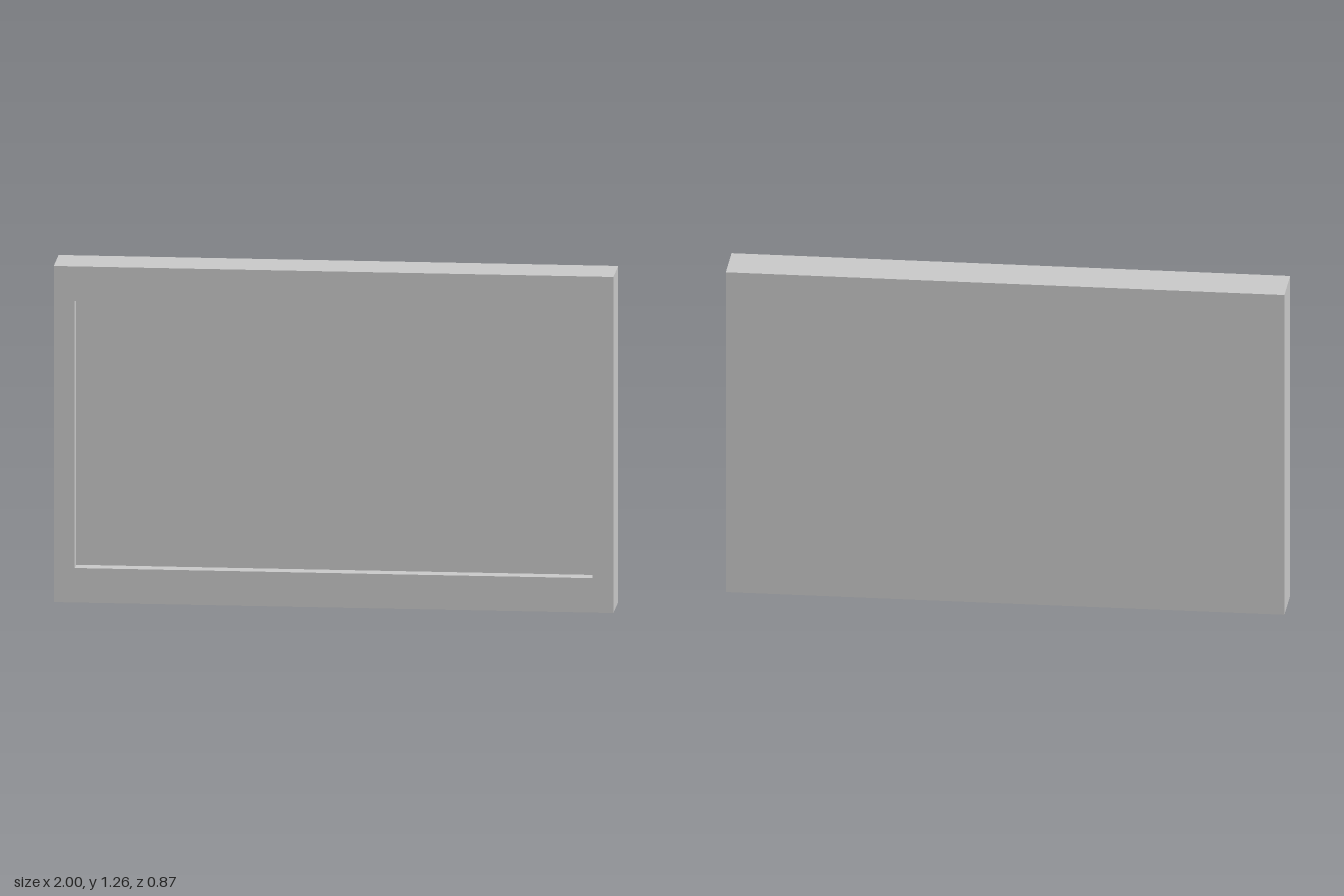
import * as THREE from 'three';

const W = 2.056, H = 1.258, T = 0.191; // outer slab
const OW = 1.902, OH = 1.0, DEPTH = 0.056; // recessed opening
const TURN = Math.atan2(0.69, 1.937);

function rectangle(target, w, h) {
  target.moveTo(-w / 2, -h / 2);
  target.lineTo(w / 2, -h / 2);
  target.lineTo(w / 2, h / 2);
  target.lineTo(-w / 2, h / 2);
  target.closePath();
  return target;
}

// Slab profile from back centre, round the outside and into the recess
function createCasing() {
  const rings = [
    [W, H, -T / 2], [W, H, T / 2], [OW, OH, T / 2], [OW, OH, T / 2 - DEPTH],
  ];
  const corners = [[-1, -1], [1, -1], [1, 1], [-1, 1]];
  const point = ([w, h, z], k) => [corners[k % 4][0] * w / 2, corners[k % 4][1] * h / 2, z];
  const positions = [];
  for (let r = 0; r < rings.length - 1; r++) {
    for (let k = 0; k < 4; k++) {
      const a = point(rings[r], k), b = point(rings[r], k + 1);
      const c = point(rings[r + 1], k + 1), d = point(rings[r + 1], k);
      positions.push(...a, ...b, ...c, ...a, ...c, ...d);
    }
  }
  const geometry = new THREE.BufferGeometry();
  geometry.setAttribute('position', new THREE.Float32BufferAttribute(positions, 3));
  geometry.computeVertexNormals();
  return geometry;
}

export function createModel() {
  const material = new THREE.MeshStandardMaterial({ color: 0xcccccc, flatShading: true });
  const group = new THREE.Group();
  group.name = 'framedPanel';

  const add = (name, geometry, z = 0) => {
    const mesh = new THREE.Mesh(geometry, material);
    mesh.name = name;
    mesh.position.z = z;
    group.add(mesh);
    return mesh;
  };

  // Outer sides, front border and recess walls
  add('frame', createCasing());
  // Sunken front face
  add('recessedPanel', new THREE.ShapeGeometry(rectangle(new THREE.Shape(), OW, OH)), T / 2 - DEPTH);
  // Plain back
  add('backPanel', new THREE.ShapeGeometry(rectangle(new THREE.Shape(), W, H)), -T / 2).rotation.y = Math.PI;

  // Stand on the ground, turned towards the left
  group.position.y = H / 2;
  group.rotation.y = TURN;
  const model = new THREE.Group();
  model.name = 'model';
  model.add(group);
  return model;
}
